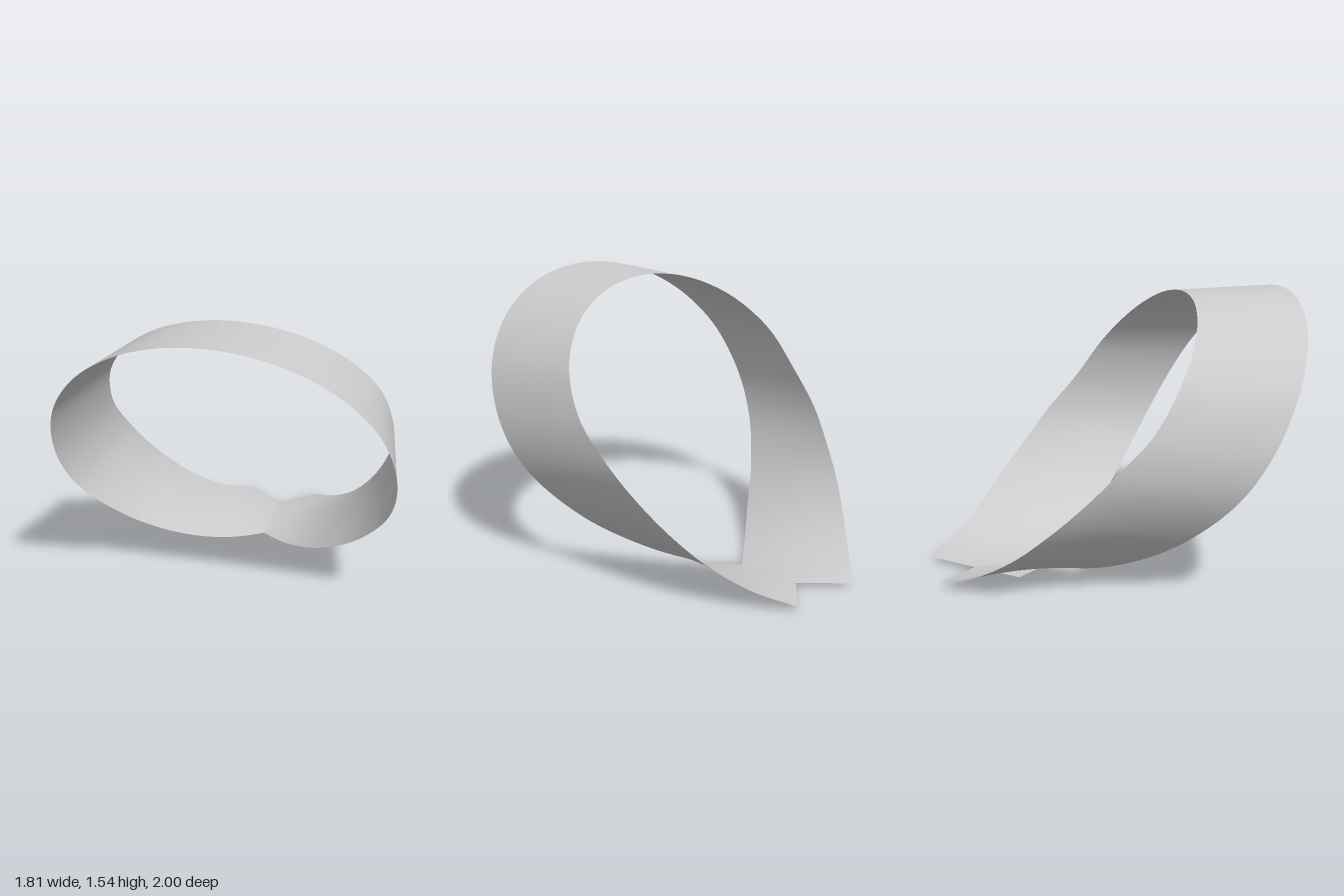
import * as THREE from 'three';

// Half of an edge: a quarter-ellipse arch, then the tail that crosses the middle.
function edgeCurve(rx, yMid, ry, zMid, rz, tail) {
  const half = [];
  for (let i = 0; i <= 4; i++) {
    const a = (i / 4) * Math.PI / 2;
    half.push(new THREE.Vector3(rx * Math.sin(a), yMid + ry * Math.cos(a), zMid + rz * Math.cos(a)));
  }
  tail.forEach(p => half.push(new THREE.Vector3(...p)));
  const mirrored = half.slice(1).reverse().map(p => new THREE.Vector3(-p.x, p.y, p.z));
  return new THREE.CatmullRomCurve3([...mirrored, ...half]);
}

// Smooth ruled strip between two edge curves.
function ruledStrip(edgeA, edgeB, along, across) {
  const pos = [], index = [], p = new THREE.Vector3();
  for (let i = 0; i <= along; i++) {
    const a = edgeA.getPoint(i / along), b = edgeB.getPoint(i / along);
    for (let j = 0; j <= across; j++) {
      p.lerpVectors(a, b, j / across);
      pos.push(p.x, p.y, p.z);
    }
  }
  const row = across + 1;
  for (let i = 0; i < along; i++) {
    for (let j = 0; j < across; j++) {
      const k = i * row + j;
      index.push(k, k + row, k + 1, k + 1, k + row, k + row + 1);
    }
  }
  const geo = new THREE.BufferGeometry();
  geo.setAttribute('position', new THREE.Float32BufferAttribute(pos, 3));
  geo.setIndex(index);
  geo.computeVertexNormals();
  return geo;
}

export function createModel() {
  const group = new THREE.Group();
  group.name = 'ribbonLoop';

  // Front edge of the band, ending past the middle at the back
  const frontEdge = edgeCurve(0.907, 0.81, 0.73, 0.6, 0.4, [
    [0.86, 0.56, 0.44], [0.67, 0.305, 0.22], [0.43, 0.13, 0.01],
    [0.2, 0.03, -0.2], [0, 0.002, -0.38], [-0.21, 0.02, -0.575],
  ]);
  // Back edge of the band, ending at the rear corners
  const backEdge = edgeCurve(0.805, 0.92, 0.61, 0, 0.415, [
    [0.785, 0.72, -0.19], [0.725, 0.55, -0.345], [0.635, 0.38, -0.51],
    [0.515, 0.225, -0.67], [0.37, 0.105, -0.835], [0.21, 0.03, -1],
  ]);

  const material = new THREE.MeshStandardMaterial({ color: 0xcccccc, side: THREE.DoubleSide });
  const ribbon = new THREE.Mesh(ruledStrip(frontEdge, backEdge, 240, 12), material);
  ribbon.name = 'ribbon';
  group.add(ribbon);
  return group;
}
